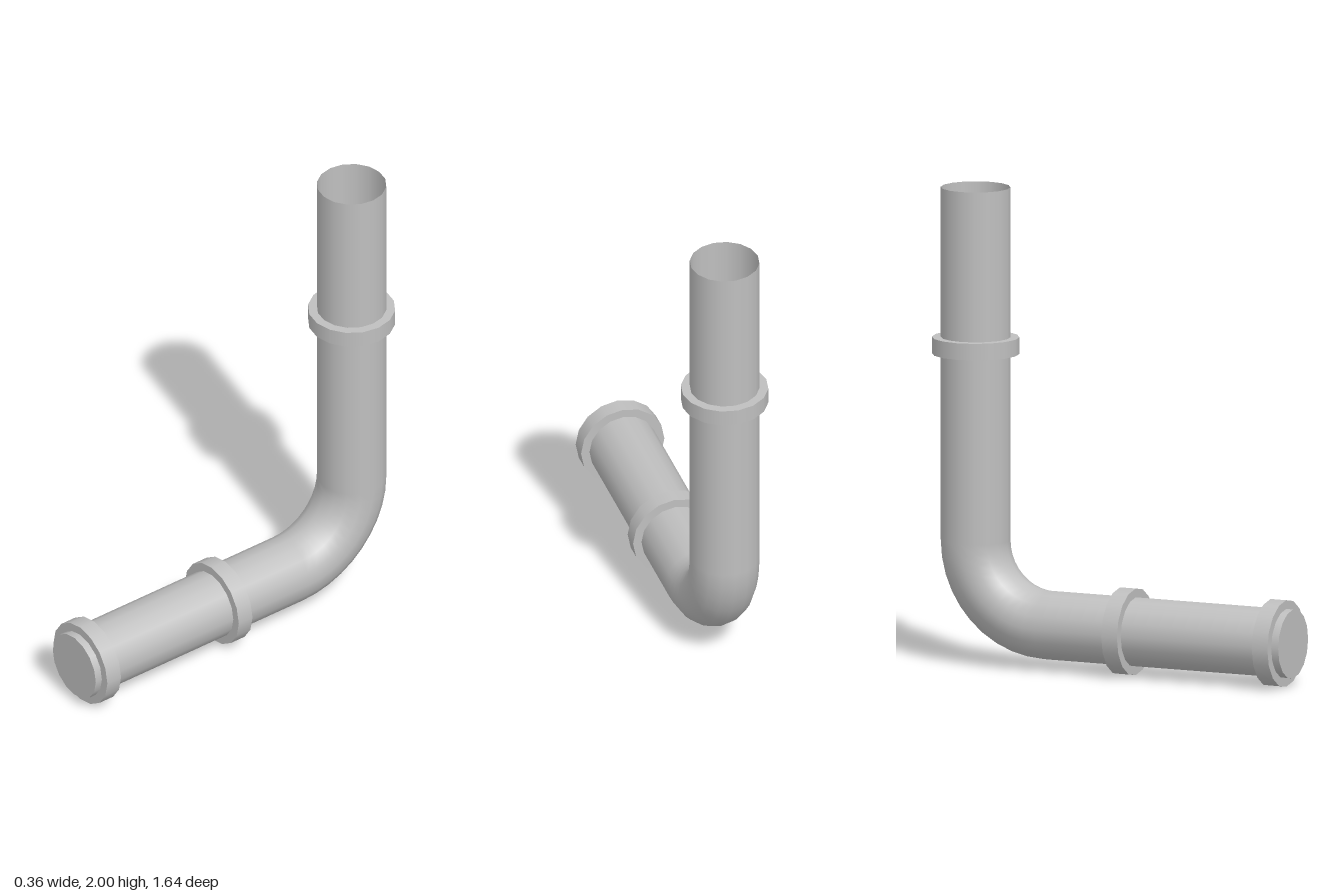
import * as THREE from 'three';

const SIDES = 16;
const PIPE_R = 0.145;   // pipe radius
const COLLAR_R = 0.182; // collar radius
const BEND_R = 0.335;   // bend radius along the pipe's axis
const AXIS_Y = 0.182;   // height of the horizontal run
const AXIS_Z = -0.638;  // depth of the vertical run
const FRONT_Z = 0.82;
const TOP_Y = 2;

export function createModel() {
  const group = new THREE.Group();
  const metal = new THREE.MeshStandardMaterial({ color: 0xbfbfbf, side: THREE.DoubleSide });
  metal.name = 'grey metal';

  const add = (name, geometry) => {
    const mesh = new THREE.Mesh(geometry, metal);
    mesh.name = name;
    group.add(mesh);
    return mesh;
  };

  // Cylinder along the vertical run, from height a to b
  const upright = (name, r, a, b, open) =>
    add(name, new THREE.CylinderGeometry(r, r, b - a, SIDES, 1, open))
      .position.set(0, (a + b) / 2, AXIS_Z);

  // Cylinder along the horizontal run, from depth a to b
  const level = (name, r, a, b, open) => {
    const mesh = add(name, new THREE.CylinderGeometry(r, r, b - a, SIDES, 1, open));
    mesh.rotation.x = Math.PI / 2;
    mesh.position.set(0, AXIS_Y, (a + b) / 2);
  };

  const bendY = AXIS_Y + BEND_R;
  const bendZ = AXIS_Z + BEND_R;

  // Pipe: open upright, quarter bend, level run
  upright('verticalPipe', PIPE_R, bendY, TOP_Y, true);
  level('horizontalPipe', PIPE_R, bendZ, FRONT_Z, true);
  const bend = new THREE.TorusGeometry(BEND_R, PIPE_R, SIDES, 10, Math.PI / 2);
  bend.applyMatrix4(new THREE.Matrix4().makeBasis(
    new THREE.Vector3(0, 0, -1),
    new THREE.Vector3(0, -1, 0),
    new THREE.Vector3(-1, 0, 0)
  ));
  add('pipeBend', bend).position.set(0, bendY, bendZ);

  // Disc closing the front end
  const cap = add('frontCap', new THREE.CircleGeometry(PIPE_R, SIDES));
  cap.position.set(0, AXIS_Y, FRONT_Z);

  // Solid collars
  upright('upperCollar', COLLAR_R, 1.3, 1.37, false);
  level('middleCollar', COLLAR_R, 0.025, 0.097, false);
  level('frontCollar', COLLAR_R, 0.716, 0.788, false);

  return group;
}
